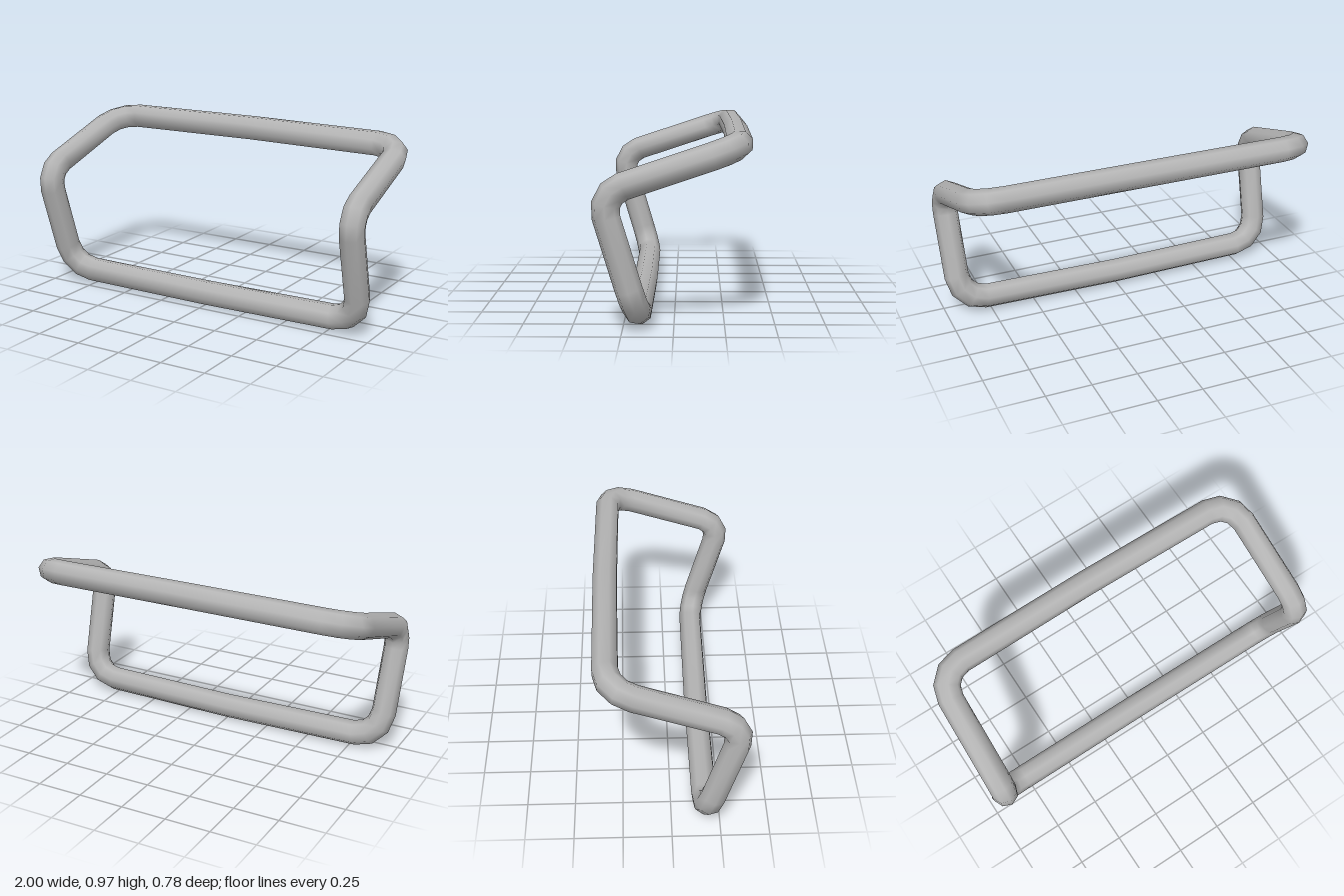
import * as THREE from 'three';

const SIDES = 8;
const RADIUS = 0.068;
const V = (x, y, z) => new THREE.Vector3(x, y, z);

// Replace a sharp corner by an arc of three straight pieces
function roundedCorner(before, corner, after, reach) {
  const a = before.clone().sub(corner).normalize();
  const b = after.clone().sub(corner).normalize();
  const half = a.angleTo(b) / 2;
  const radius = reach * Math.tan(half);
  const inward = a.clone().add(b).normalize();
  const across = a.clone().sub(b).normalize();
  const centre = corner.clone().addScaledVector(inward, reach / Math.cos(half));
  const sweep = Math.PI / 2 - half;
  return [1, 1 / 3, -1 / 3, -1].map((s) => centre.clone()
    .addScaledVector(inward, -radius * Math.cos(s * sweep))
    .addScaledVector(across, radius * Math.sin(s * sweep)));
}

// Rings along the path, mitred at every joint
function mitredRings(path) {
  const ring = [];
  for (let j = 0; j < SIDES; j++) {
    const t = ((j + 0.5) / SIDES) * Math.PI * 2 + 0.03;
    ring.push(path[0].clone().add(V(0, RADIUS * Math.sin(t), RADIUS * Math.cos(t))));
  }
  const rings = [ring];
  for (let k = 1; k < path.length; k++) {
    const dir = path[k].clone().sub(path[k - 1]).normalize();
    const normal = k === path.length - 1
      ? V(-1, 0, 0)
      : path[k + 1].clone().sub(path[k]).normalize().add(dir).normalize();
    rings.push(rings[k - 1].map((p) => {
      const d = path[k].clone().sub(p).dot(normal) / dir.dot(normal);
      return p.clone().addScaledVector(dir, d);
    }));
  }
  return rings;
}

function tubeLoopGeometry(rings) {
  const positions = rings.flat().flatMap((p) => [p.x, p.y, p.z]);
  const index = [];
  for (let k = 0; k < rings.length; k++) {
    const next = (k + 1) % rings.length;
    for (let j = 0; j < SIDES; j++) {
      const a = k * SIDES + j, b = k * SIDES + (j + 1) % SIDES;
      const c = next * SIDES + j, d = next * SIDES + (j + 1) % SIDES;
      index.push(a, c, b, b, c, d);
    }
  }
  const geometry = new THREE.BufferGeometry();
  geometry.setAttribute('position', new THREE.Float32BufferAttribute(positions, 3));
  geometry.setIndex(index);
  geometry.computeVertexNormals();
  return geometry;
}

export function createModel() {
  const group = new THREE.Group();
  group.name = 'bentTubeFrame';
  const metal = new THREE.MeshStandardMaterial({ color: 0xb4b4b4 });
  metal.name = 'grey metal';

  // Left half of the centreline: upper bar, upper arm, lower leg, lower bar
  const topMid = V(0, 0.907, -0.326);
  const topCorner = V(0.918, 0.902, -0.317);
  const elbow = V(0.935, 0.678, 0.354);
  const bottomCorner = V(0.918, 0.078, 0.174);
  const bottomMid = V(0, 0.068, 0.168);
  const path = [
    topMid,
    ...roundedCorner(topMid, topCorner, elbow, 0.145),
    ...roundedCorner(topCorner, elbow, bottomCorner, 0.118),
    ...roundedCorner(elbow, bottomCorner, bottomMid, 0.145),
    bottomMid,
  ];

  // Mirror the half to close the loop
  const half = mitredRings(path);
  const mirrored = half.slice(1, -1).reverse()
    .map((ring) => ring.map((p) => V(-p.x, p.y, p.z)));
  const frame = new THREE.Mesh(tubeLoopGeometry([...half, ...mirrored]), metal);
  frame.name = 'tubeLoop';
  group.add(frame);
  return group;
}
